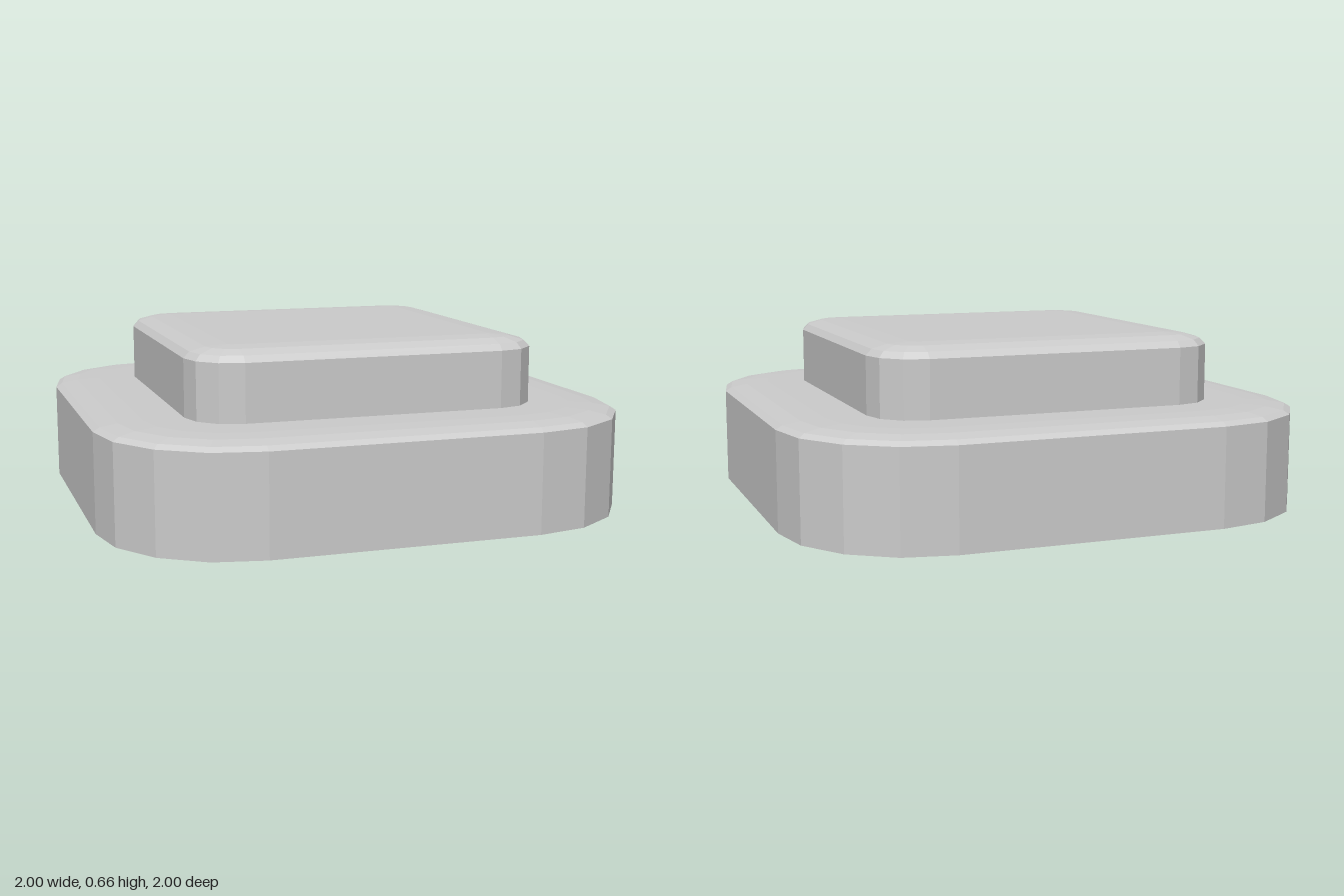
import * as THREE from 'three';

const material = new THREE.MeshStandardMaterial({ color: 0xcccccc, flatShading: true });

// Rounded-square slab: profile lists [inset, height] from bottom to top.
function roundedSlab(name, half, radius, segments, profile) {
  const positions = [];
  const indices = [];
  const count = 4 * (segments + 1);
  const corners = [[1, 1], [-1, 1], [-1, -1], [1, -1]];

  for (const [inset, y] of profile) {
    const centre = half - radius;
    const r = radius - inset;
    corners.forEach(([sx, sz], c) => {
      for (let i = 0; i <= segments; i++) {
        const a = (c + i / segments) * Math.PI / 2;
        positions.push(sx * centre + r * Math.cos(a), y, sz * centre + r * Math.sin(a));
      }
    });
  }

  // Walls and rounded upper edge
  for (let k = 0; k < profile.length - 1; k++) {
    for (let i = 0; i < count; i++) {
      const j = (i + 1) % count;
      const a = k * count + i, b = k * count + j;
      indices.push(a, a + count, b, b, a + count, b + count);
    }
  }

  // Flat bottom and top
  const last = (profile.length - 1) * count;
  for (let i = 1; i < count - 1; i++) {
    indices.push(0, i, i + 1);
    indices.push(last, last + i + 1, last + i);
  }

  const geometry = new THREE.BufferGeometry();
  geometry.setAttribute('position', new THREE.Float32BufferAttribute(positions, 3));
  geometry.setIndex(indices);
  geometry.computeVertexNormals();
  const mesh = new THREE.Mesh(geometry, material);
  mesh.name = name;
  return mesh;
}

export function createModel() {
  const group = new THREE.Group();
  group.name = 'steppedButton';

  // Wide base with generous corners
  group.add(roundedSlab('base', 1, 0.5, 4,
    [[0, 0], [0, 0.37], [0.024, 0.385], [0.09, 0.396], [0.18, 0.4]]));

  // Smaller raised cap
  group.add(roundedSlab('cap', 0.67, 0.18, 3,
    [[0, 0.39], [0, 0.615], [0.022, 0.638], [0.08, 0.654], [0.16, 0.66]]));

  return group;
}
